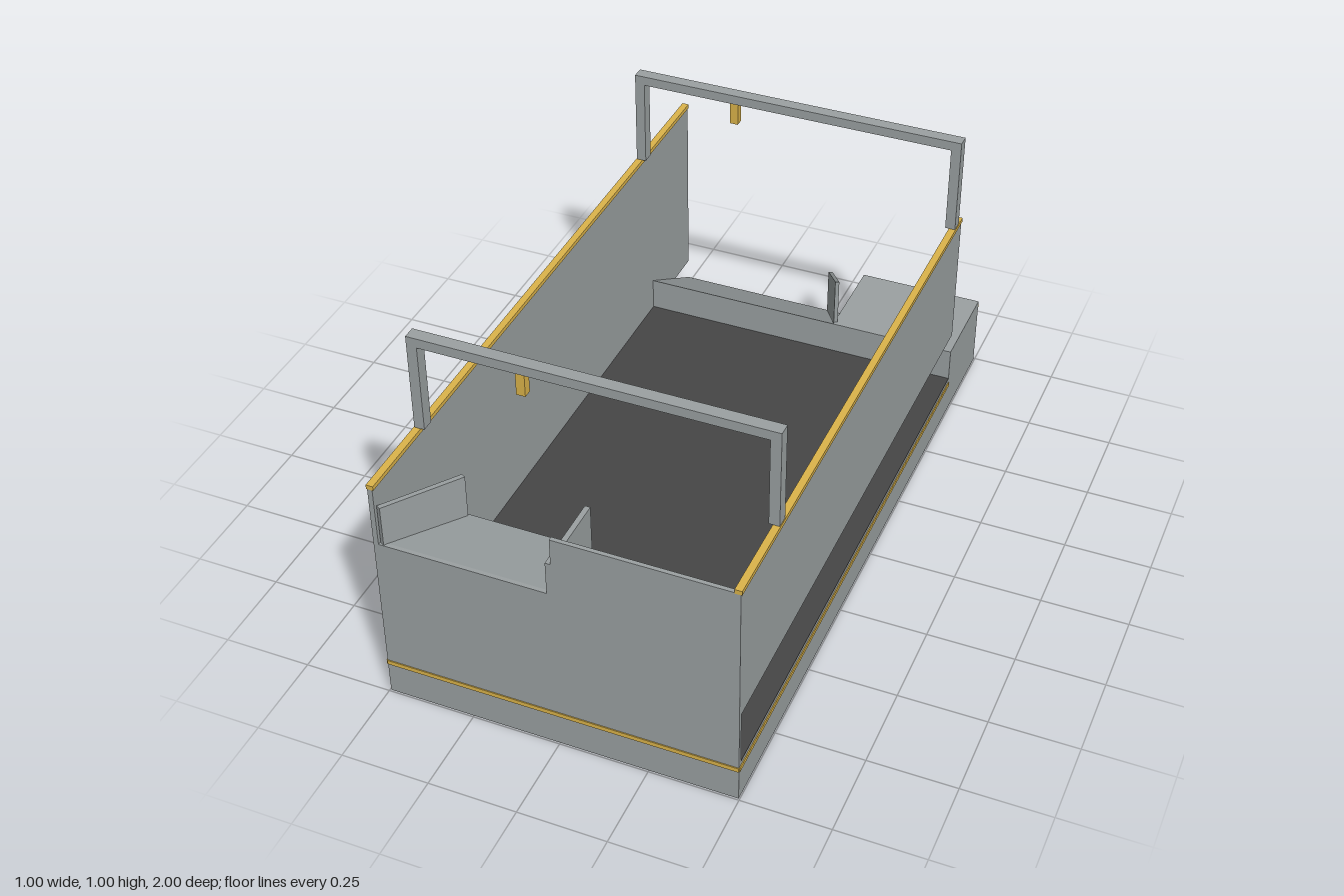
import * as THREE from 'three';

const mat = (name, color) => {
  const m = new THREE.MeshStandardMaterial({ color });
  m.name = name;
  return m;
};

export function createModel() {
  const model = new THREE.Group();
  const grey = mat('panel grey', 0x9ba1a2);
  const dark = mat('deck dark grey', 0x464646);
  const gold = mat('trim gold', 0xdcb44a);

  const add = (name, geometry, material) => {
    const mesh = new THREE.Mesh(geometry, material);
    mesh.name = name;
    model.add(mesh);
    return mesh;
  };
  // box given by its limits on each axis
  const box = (name, material, x0, x1, y0, y1, z0, z1) =>
    add(name, new THREE.BoxGeometry(x1 - x0, y1 - y0, z1 - z0), material)
      .position.set((x0 + x1) / 2, (y0 + y1) / 2, (z0 + z1) / 2);
  const extrude = (points, depth) => new THREE.ExtrudeGeometry(
    new THREE.Shape(points.map(p => new THREE.Vector2(...p))), { depth, bevelEnabled: false });
  // side profile of [z, y] points, swept across x
  const sweep = (name, material, points, x0, x1) => {
    const mesh = add(name, extrude(points, x1 - x0), material);
    mesh.rotation.y = -Math.PI / 2;
    mesh.position.x = x1;
  };
  // upright plate from a to b, each [x, z, bottom, top]
  const fin = (name, a, b, thick) => {
    const dx = b[0] - a[0], dz = b[1] - a[1], len = Math.hypot(dx, dz);
    const g = extrude([[0, a[2]], [len, b[2]], [len, b[3]], [0, a[3]]], thick);
    g.translate(0, 0, -thick / 2);
    const mesh = add(name, g, grey);
    mesh.rotation.y = Math.atan2(-dz, dx);
    mesh.position.set(a[0], 0, a[1]);
  };

  const W = 0.497, IN = 0.483, BACK = -0.995, FRONT = 0.995, STEP = -0.71;

  // base with a dark deck sheet on top
  box('base', grey, -W, W, 0, 0.122, STEP, FRONT);
  box('deck', dark, -IN, W, 0.122, 0.125, STEP, 0.985);

  // rear block and entry ramp
  box('rearBlock', grey, 0.12, W, 0, 0.225, BACK, STEP);
  sweep('ramp', grey, [[BACK, 0], [STEP, 0], [STEP, 0.225], [BACK, 0.055]], -IN, 0.12);
  fin('rampFin', [0.007, -0.997, 0.055, 0.205], [0.124, -0.722, 0.218, 0.375], 0.012);

  // side walls: one full, the other raised to leave a long slot
  box('rightWall', grey, -W, -IN, 0.12, 0.697, BACK, FRONT);
  box('leftWall', grey, IN, W, 0.29, 0.697, STEP, FRONT);
  box('rightRail', gold, -0.5, -0.48, 0.697, 0.71, BACK, FRONT);
  box('leftRail', gold, 0.48, 0.5, 0.697, 0.71, STEP, FRONT);

  // stepped front wall
  const front = add('frontWall', extrude(
    [[-IN, 0.122], [W, 0.122], [W, 0.7], [0, 0.7], [0, 0.52], [-IN, 0.52]], 0.012), grey);
  front.position.z = 0.983;

  // sloping front shelf with its divider and angled fin
  sweep('frontShelf', grey, [[0.765, 0.465], [0.985, 0.505], [0.985, 0.52], [0.765, 0.48]], -IN, -0.014);
  sweep('shelfDivider', grey, [[0.765, 0.465], [FRONT, 0.505], [FRONT, 0.62], [0.765, 0.62]], -0.015, 0);
  fin('shelfFin', [-0.475, 0.99, 0.515, 0.642], [-0.355, 0.768, 0.475, 0.611], 0.014);

  // gold trim lines
  box('frontStripe', gold, -W, W, 0.098, 0.111, FRONT, FRONT + 0.003);
  for (const s of [-1, 1])
    box('sideStripe', gold, s * W - 0.003, s * W + 0.003, 0.098, 0.111, STEP, FRONT);
  box('rearStripe', gold, 0.12, W, 0.198, 0.211, BACK - 0.003, BACK);

  // overhead frames with hanging pendants
  for (const z of [0.73, -0.66]) {
    for (const s of [-1, 1])
      box('framePost', grey, s * 0.4835 - 0.0145, s * 0.4835 + 0.0145, 0.71, 0.969, z - 0.018, z + 0.018);
    box('frameBar', grey, -0.498, 0.498, 0.969, 0.997, z - 0.018, z + 0.018);
    box('pendant', gold, -0.201, -0.176, 0.9, 0.969, z - 0.0125, z + 0.0125);
  }
  return model;
}
